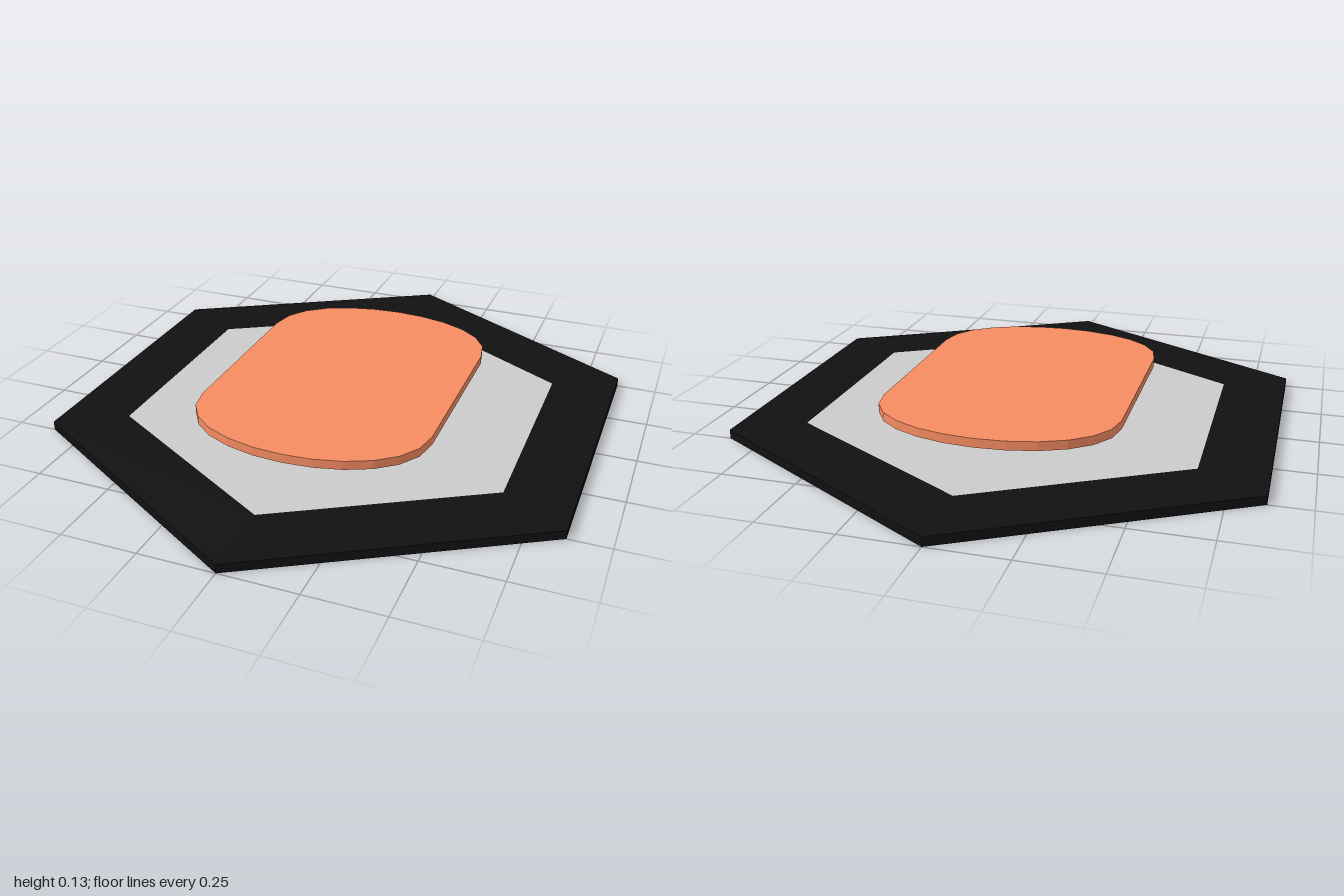
import * as THREE from 'three';

const THICKNESS = 0.03;

// Corner points of a hexagon with a corner pointing to the front and back
function hexagon(radius) {
  return Array.from({ length: 6 }, (_, i) => {
    const a = Math.PI / 2 + (i * Math.PI) / 3;
    return new THREE.Vector2(radius * Math.cos(a), radius * Math.sin(a));
  });
}

// Flat plate lying on the ground plane, raised to the given height
function plate(name, shape, color, y) {
  const geometry = new THREE.ExtrudeGeometry(shape, {
    depth: THICKNESS, bevelEnabled: false, curveSegments: 12,
  });
  geometry.rotateX(-Math.PI / 2);
  const mesh = new THREE.Mesh(geometry, new THREE.MeshStandardMaterial({ color }));
  mesh.name = name;
  mesh.position.y = y;
  return mesh;
}

export function createModel() {
  const model = new THREE.Group();
  model.name = 'hexagonBadge';

  // Dark hexagonal frame
  const frame = new THREE.Shape(hexagon(1));
  frame.holes.push(new THREE.Path(hexagon(0.75)));
  model.add(plate('outerFrame', frame, 0x111111, 0));

  // Grey panel filling the frame
  model.add(plate('innerPanel', new THREE.Shape(hexagon(0.75)), 0xcccccc, 0));

  // Floating pad with straight sides and rounded ends
  const pad = new THREE.Shape();
  pad.moveTo(0.4, -0.3);
  pad.lineTo(0.4, 0.3);
  pad.bezierCurveTo(0.4, 0.65, -0.4, 0.65, -0.4, 0.3);
  pad.lineTo(-0.4, -0.3);
  pad.bezierCurveTo(-0.4, -0.65, 0.4, -0.65, 0.4, -0.3);
  model.add(plate('raisedPad', pad, 0xf68c62, 0.1));

  return model;
}
